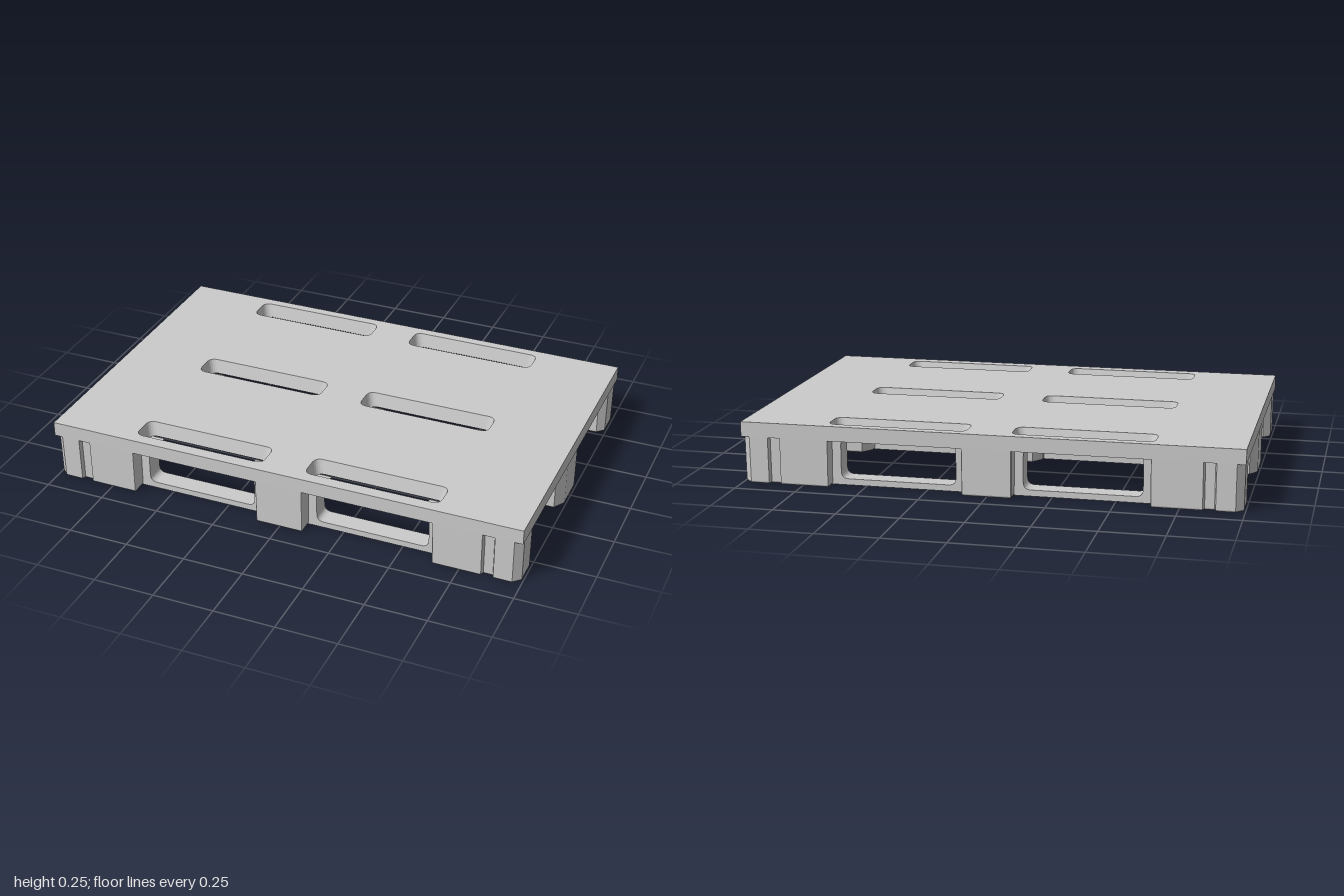
import * as THREE from 'three';

const material = new THREE.MeshStandardMaterial({ color: 0xcccccc, flatShading: true });
const TOP = 0.25, UNDER = 0.19;
const SLOT_X = [-0.37, 0.37], SLOT_Z = [-0.567, -0.005, 0.557];

function roundedRect(path, cx, cy, hx, hy, r) {
  path.moveTo(cx - hx + r, cy - hy);
  path.lineTo(cx + hx - r, cy - hy).quadraticCurveTo(cx + hx, cy - hy, cx + hx, cy - hy + r);
  path.lineTo(cx + hx, cy + hy - r).quadraticCurveTo(cx + hx, cy + hy, cx + hx - r, cy + hy);
  path.lineTo(cx - hx + r, cy + hy).quadraticCurveTo(cx - hx, cy + hy, cx - hx, cy + hy - r);
  path.lineTo(cx - hx, cy - hy + r).quadraticCurveTo(cx - hx, cy - hy, cx - hx + r, cy - hy);
  return path;
}

function eachVertex(geometry, rule) {
  const p = geometry.attributes.position, v = new THREE.Vector3();
  for (let i = 0; i < p.count; i++) {
    rule(v.fromBufferAttribute(p, i));
    p.setXYZ(i, v.x, v.y, v.z);
  }
  geometry.computeVertexNormals();
  return geometry;
}

const nearest = (list, a) => list.reduce((b, c) => (Math.abs(c - a) < Math.abs(b - a) ? c : b));

// Top plate with six hand slots that narrow towards the underside
function deckGeometry() {
  const shape = new THREE.Shape();
  shape.moveTo(-1, -0.665).lineTo(1, -0.665).lineTo(1, 0.665).lineTo(-1, 0.665).closePath();
  for (const x of SLOT_X)
    for (const z of SLOT_Z) shape.holes.push(roundedRect(new THREE.Path(), x, z, 0.28, 0.058, 0.035));
  const geometry = new THREE.ExtrudeGeometry(shape, { depth: TOP - UNDER, bevelEnabled: false, curveSegments: 6 });
  geometry.rotateX(Math.PI / 2).translate(0, TOP, 0);
  return eachVertex(geometry, v => {
    if (v.y > 0.22 || Math.abs(v.x) > 0.9) return;
    v.x -= 0.012 * Math.sign(v.x - nearest(SLOT_X, v.x));
    v.z -= 0.012 * Math.sign(v.z - nearest(SLOT_Z, v.z));
  });
}

// Foot block from its plan: rounded bottom edge, slight draft towards the floor
function blockGeometry(plan) {
  const shape = new THREE.Shape(plan.map(([x, z]) => new THREE.Vector2(x, z)));
  const b = 0.008;
  const geometry = new THREE.ExtrudeGeometry(shape, {
    depth: UNDER, bevelThickness: b, bevelSize: b, bevelOffset: -b, bevelSegments: 2,
  });
  geometry.rotateX(Math.PI / 2).translate(0, UNDER + b, 0);
  geometry.computeBoundingBox();
  const c = geometry.boundingBox.getCenter(new THREE.Vector3());
  return eachVertex(geometry, v => {
    v.y = Math.min(v.y, UNDER);
    const k = 0.97 + 0.03 * v.y / UNDER;
    v.z = c.z + (v.z - c.z) * k;
    v.x = c.x + (v.x - c.x) * (0.99 + 0.01 * v.y / UNDER);
  });
}

// End block plan: chamfered corners and a vertical groove in each long face
function endPlan(side, z0, z1, outer, back, front) {
  const g0 = 0.84, g1 = 0.89, d = 0.016, x0 = 0.64, x1 = 0.996;
  return [
    [x0, z0 + back], [x0 + back * 0.7, z0], [g0, z0], [g0 + 0.006, z0 + d], [g1 - 0.006, z0 + d], [g1, z0],
    [x1 - 0.03, z0], [x1, z0 + outer], [x1, z1 - outer], [x1 - 0.03, z1],
    [g1, z1], [g1 - 0.006, z1 - d], [g0 + 0.006, z1 - d], [g0, z1], [x0 + front * 0.7, z1], [x0, z1 - front],
  ].map(([x, z]) => [side * x, z]);
}

// Centre block plan with chamfers on its back and front corners
function centrePlan(z0, z1, back, front) {
  const h = 0.1;
  return [
    [-h, z0 + back], [-h + back * 0.7, z0], [h - back * 0.7, z0], [h, z0 + back],
    [h, z1 - front], [h - front * 0.7, z1], [-h + front * 0.7, z1], [-h, z1 - front],
  ];
}

// Thin window frame: floor rail and two posts with rounded corners
function frameGeometry() {
  const shape = new THREE.Shape();
  shape.moveTo(-0.275, 0).lineTo(0.275, 0).lineTo(0.275, UNDER).lineTo(0.205, UNDER);
  shape.quadraticCurveTo(0.235, UNDER, 0.235, 0.16).lineTo(0.235, 0.055);
  shape.quadraticCurveTo(0.235, 0.025, 0.205, 0.025).lineTo(-0.205, 0.025);
  shape.quadraticCurveTo(-0.235, 0.025, -0.235, 0.055).lineTo(-0.235, 0.16);
  shape.quadraticCurveTo(-0.235, UNDER, -0.205, UNDER).lineTo(-0.275, UNDER).closePath();
  return new THREE.ExtrudeGeometry(shape, { depth: 0.08, bevelEnabled: false, curveSegments: 6 }).translate(0, 0, -0.04);
}

export function createModel() {
  const model = new THREE.Group();
  model.name = 'pallet';
  const add = (parent, name, geometry) => {
    const mesh = new THREE.Mesh(geometry, material);
    mesh.name = name;
    parent.add(mesh);
    return mesh;
  };
  add(model, 'deck', deckGeometry());

  // Three runners: z range, then chamfers on the back and front faces
  const runners = [
    { name: 'backRunner', z0: -0.663, z1: -0.507, back: 0, front: 0.025, outer: 0.03 },
    { name: 'middleRunner', z0: -0.12, z1: 0.12, back: 0.05, front: 0.05, outer: 0.05 },
    { name: 'frontRunner', z0: 0.507, z1: 0.663, back: 0.025, front: 0, outer: 0.03 },
  ];
  const frame = frameGeometry();
  runners.forEach(({ name, z0, z1, back, front, outer }, i) => {
    const runner = new THREE.Group();
    runner.name = name;
    // a tiny chamfer keeps square corners free of doubled points
    const b = back || 0.003, f = front || 0.003;
    for (const side of [-1, 1]) {
      add(runner, side > 0 ? 'leftBlock' : 'rightBlock', blockGeometry(endPlan(side, z0, z1, outer, b, f)));
      add(runner, side > 0 ? 'leftFrame' : 'rightFrame', frame).position.set(side * 0.37, 0, SLOT_Z[i]);
    }
    add(runner, 'centreBlock', blockGeometry(centrePlan(z0, z1, b, f)));
    model.add(runner);
  });
  return model;
}
